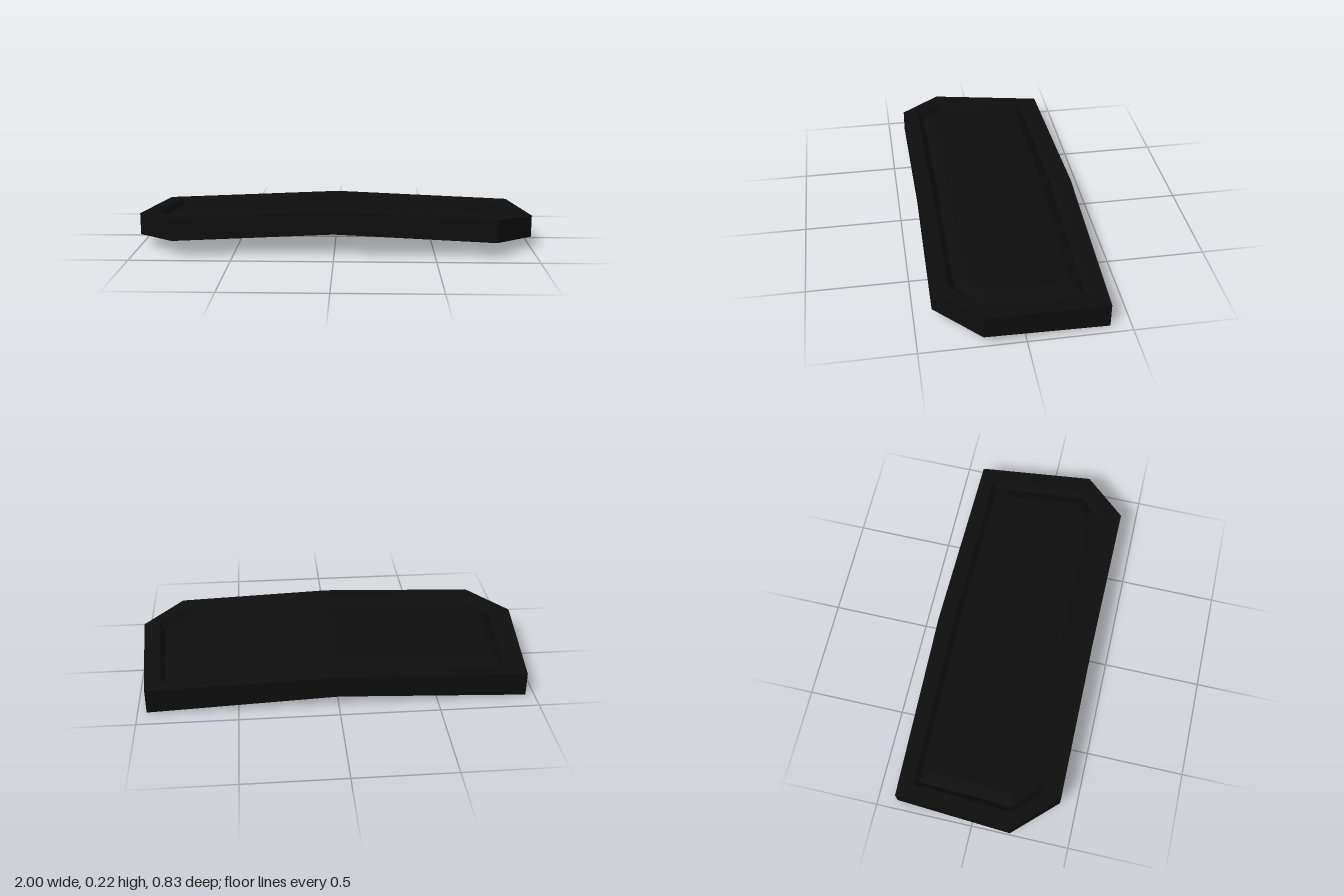
import * as THREE from 'three';

// Heights of the tilted, centre-ridged top and underside
const topY = (x, z) => 0.195 - 0.041 * x + 0.0725 * z;
const bottomY = (x, z) => 0.085 - 0.048 * x + 0.0725 * z;

// Eight-point ring, mirrored in x, from a half outline [x, z] running back to front
function ring(half, height, offset = 0) {
  const right = half.map(([x, z]) => [x, height(x, z) + offset, z]);
  const left = right.slice(1, -1).reverse().map(([x, y, z]) => [-x, y, z]);
  return [...right, ...left];
}

// Faces between an outer (or lower) ring and an inner (or upper) ring
function band(a, b) {
  return a.flatMap((p, i) => {
    const j = (i + 1) % a.length;
    return [a[j], p, b[i], a[j], b[i], b[j]];
  });
}

// Fan from the back centre, so the crease along x = 0 is kept
function cap(r, up) {
  const tris = [];
  for (let i = 1; i < r.length - 1; i++) {
    tris.push(r[0], ...(up ? [r[i + 1], r[i]] : [r[i], r[i + 1]]));
  }
  return tris;
}

export function createModel() {
  const group = new THREE.Group();
  const black = new THREE.MeshStandardMaterial({ color: 0x0e0e0e, flatShading: true });
  black.name = 'matte black';

  const add = (name, points) => {
    const g = new THREE.BufferGeometry();
    g.setAttribute('position', new THREE.Float32BufferAttribute(points.flat(), 3));
    g.computeVertexNormals();
    const mesh = new THREE.Mesh(g, black);
    mesh.name = name;
    group.add(mesh);
  };

  const outline = [[0, -0.417], [0.955, -0.4], [1, 0.2], [0.8, 0.414], [0, 0.408]];
  const base = ring(outline, bottomY);
  // Bottom follows the measured drop at the back corners
  base[1][1] = base[7][1] = 0.002;
  base[2][1] = base[6][1] = 0.058;
  base[3][1] = base[5][1] = 0.078;
  const rimOuter = ring(outline, topY);
  const rimInner = ring([[0, -0.335], [0.88, -0.325], [0.915, 0.195], [0.77, 0.333], [0, 0.33]], topY);
  const groove = ring([[0, -0.31], [0.86, -0.3], [0.885, 0.19], [0.76, 0.302], [0, 0.3]], topY, -0.028);
  const pad = ring([[0, -0.255], [0.8, -0.245], [0.83, 0.165], [0.735, 0.247], [0, 0.245]], topY, 0.003);

  add('underside', cap(base, false));
  add('sideWalls', band(base, rimOuter));
  add('rim', band(rimOuter, rimInner));
  add('grooveOuterSlope', band(rimInner, groove));
  add('grooveInnerSlope', band(groove, pad));
  add('raisedPad', cap(pad, true));
  return group;
}
